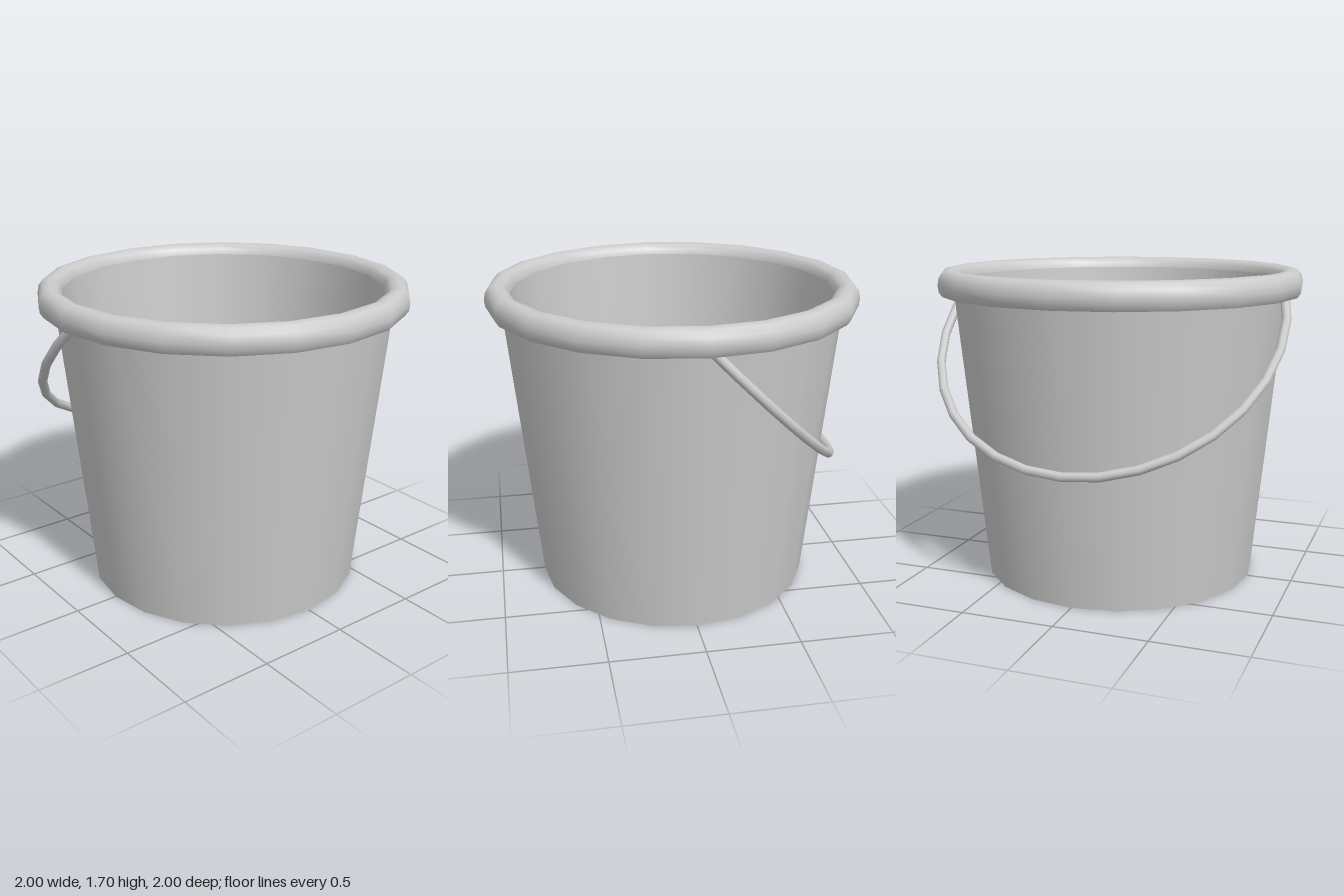
import * as THREE from 'three';

const SIDES = 20;

export function createModel() {
  const group = new THREE.Group();
  const material = new THREE.MeshStandardMaterial({ color: 0xcccccc });

  const add = (name, geometry) => {
    const mesh = new THREE.Mesh(geometry, material);
    mesh.name = name;
    group.add(mesh);
    return mesh;
  };
  // Profiles running upward face outward, downward face inward
  const lathe = (name, profile) =>
    add(name, new THREE.LatheGeometry(profile.map(([r, y]) => new THREE.Vector2(r, y)), SIDES));

  // Tapered wall, with a hollow foot below the floor
  lathe('outerWall', [[0.757, 0], [0.914, 1.57]]);
  lathe('innerWall', [[0.87, 1.64], [0.742, 0.17]]);
  lathe('footInside', [[0.765, 0.168], [0.753, 0]]);
  lathe('footEdge', [[0.753, 0], [0.757, 0]]);

  // Floor, closed from above and below
  lathe('floorTop', [[0.745, 0.172], [0, 0.172]]);
  lathe('floorUnderside', [[0, 0.166], [0.768, 0.166]]);

  // Rolled rim with a flat underside
  lathe('rimUnderside', [[0.9, 1.56], [0.978, 1.56]]);
  lathe('rim', [
    [0.978, 1.56], [0.995, 1.585], [1, 1.62], [0.993, 1.66], [0.97, 1.69],
    [0.935, 1.7], [0.9, 1.69], [0.878, 1.67], [0.87, 1.64],
  ]);

  // Wire handle hanging to the right, its ends tucked into the rim
  const points = [];
  const steps = 18;
  for (let i = 0; i <= steps; i++) {
    const a = THREE.MathUtils.degToRad(-18 + (216 * i) / steps);
    const drop = 0.94 * Math.sin(a) * Math.SQRT1_2;
    points.push(new THREE.Vector3(-0.2 - drop, 1.395 - drop, 0.955 * Math.cos(a)));
  }
  add('handle', new THREE.TubeGeometry(new THREE.CatmullRomCurve3(points), steps, 0.025, 8));

  return group;
}
